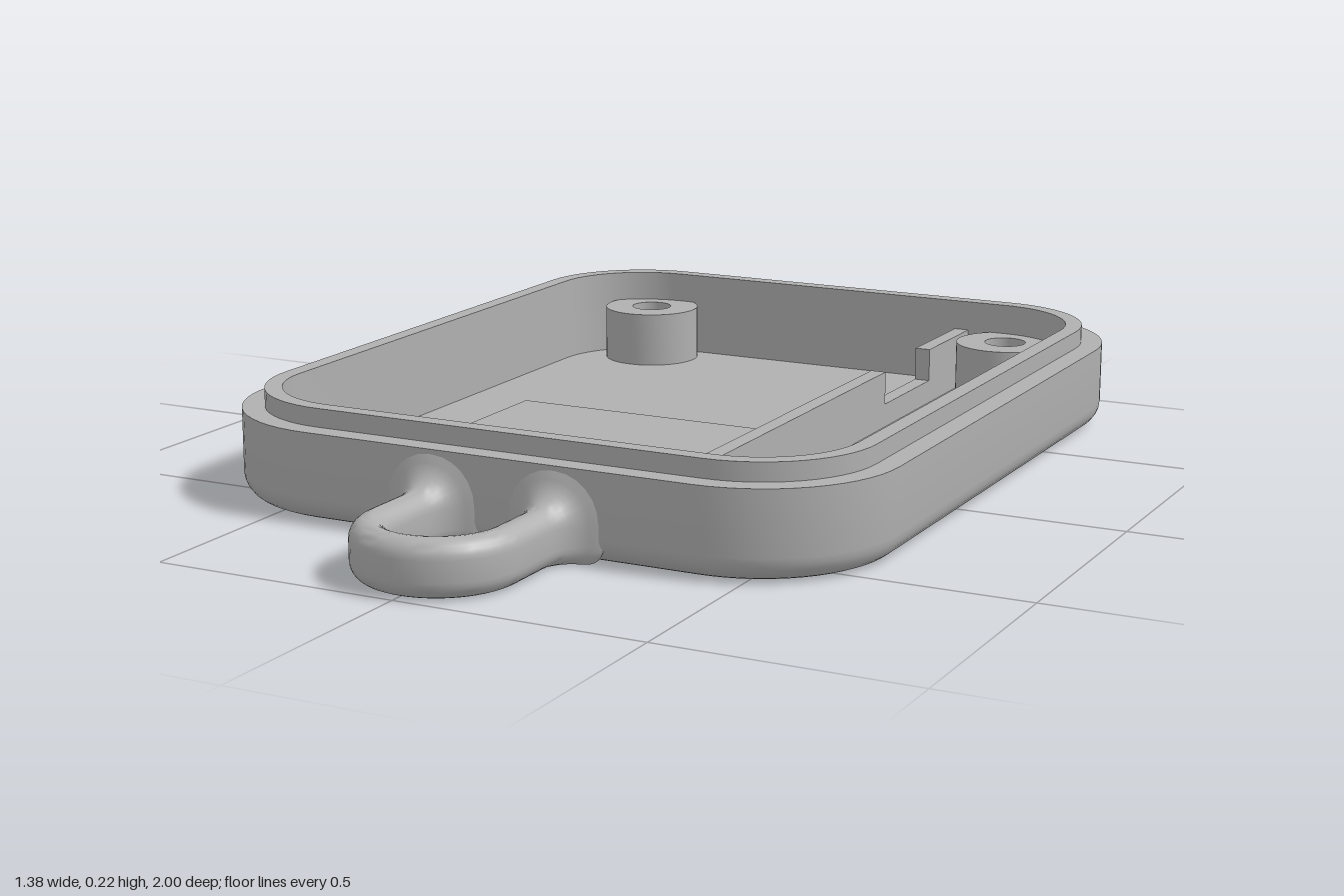
import * as THREE from 'three';
import { toCreasedNormals } from 'three/addons/utils/BufferGeometryUtils.js';

const HALF_W = 0.69, HALF_D = 0.83, CENTER_Z = -0.17, CORNER = 0.28;
const FLOOR = 0.03, BOSS_TOP = 0.15, BORE = 0.083;
const SCREWS = [[-0.443, -0.835], [0.443, -0.835], [-0.443, 0.495], [0.443, 0.495]];

// Rounded-rectangle outline in x/z, shrunk by an inset
function outline(inset, steps = 14) {
  const r = CORNER - inset, pts = [];
  [[1, 1], [-1, 1], [-1, -1], [1, -1]].forEach(([sx, sz], q) => {
    for (let i = 0; i <= steps; i++) {
      const a = (q + i / steps) * Math.PI / 2;
      pts.push([sx * (HALF_W - CORNER) + r * Math.cos(a),
        CENTER_Z + sz * (HALF_D - CORNER) + r * Math.sin(a)]);
    }
  });
  return pts;
}

// Skin a list of closed rings of equal length
function loft(rings) {
  const n = rings[0].length, index = [];
  for (let i = 0; i < rings.length - 1; i++) {
    for (let j = 0; j < n; j++) {
      const k = (j + 1) % n;
      const a = i * n + j, b = i * n + k, c = b + n, d = a + n;
      index.push(a, d, c, a, c, b);
    }
  }
  const g = new THREE.BufferGeometry();
  g.setAttribute('position', new THREE.Float32BufferAttribute(rings.flat(2), 3));
  g.setIndex(index);
  return toCreasedNormals(g, 0.6);
}

// Flat sheet with the four screw holes, facing up or down
function sheet(inset, y, up) {
  const s = up ? -1 : 1;
  const shape = new THREE.Shape(outline(inset).map(([x, z]) => new THREE.Vector2(x, s * z)));
  for (const [x, z] of SCREWS) {
    shape.holes.push(new THREE.Path().absarc(x, s * z, BORE, 0, Math.PI * 2));
  }
  return new THREE.ShapeGeometry(shape, 20).rotateX(s * Math.PI / 2).translate(0, y, 0);
}

// Cross-section of the loop: the flare widens and raises it
function loopSection(px, pz, nx, nz, flare) {
  const hw = 0.035 + flare, top = 0.11 + flare, ring = [];
  const rTop = Math.min(hw, 0.09), rBot = 0.035;
  [[1, 1], [-1, 1], [-1, -1], [1, -1]].forEach(([su, sv], q) => {
    const r = sv > 0 ? rTop : rBot;
    for (let i = 0; i <= 6; i++) {
      const a = (q + i / 6) * Math.PI / 2;
      const u = su * (hw - r) + r * Math.cos(a);
      const v = (sv > 0 ? top - r : r) + r * Math.sin(a);
      ring.push([px + nx * u, v, pz + nz * u]);
    }
  });
  return ring;
}

function loopGeometry() {
  const R = 0.13, arcZ = 0.835, leg = [[0.612, 0.05], [0.655, 0.066]];
  // concave fillet where each leg meets the wall
  for (let i = 1; i <= 8; i++) {
    const a = i / 8 * Math.PI / 2;
    leg.push([0.73 - 0.07 * Math.cos(a), 0.07 - 0.07 * Math.sin(a)]);
  }
  const rings = leg.map(([z, f]) => loopSection(-R, z, -1, 0, f));
  for (let i = 0; i <= 28; i++) {
    const a = Math.PI * (1 - i / 28), c = Math.cos(a), s = Math.sin(a);
    rings.push(loopSection(R * c, arcZ + R * s, c, s, 0));
  }
  leg.reverse().forEach(([z, f]) => rings.push(loopSection(R, z, 1, 0, f)));
  return loft(rings);
}

export function createModel() {
  const model = new THREE.Group();
  const grey = new THREE.MeshStandardMaterial({ color: 0xb0b0b0 });
  grey.name = 'grey plastic';
  const add = (name, geometry) => {
    const mesh = new THREE.Mesh(geometry, grey);
    mesh.name = name;
    model.add(mesh);
    return mesh;
  };

  // Shell wall: rounded bottom edge, shoulder, raised lip, inner wall
  const profile = [];
  for (let i = 0; i <= 6; i++) {
    const a = i / 6 * Math.PI / 2;
    profile.push([0.05 - 0.05 * Math.sin(a), 0.05 - 0.05 * Math.cos(a)]);
  }
  profile.push([0, 0.178], [0.045, 0.178], [0.045, 0.215], [0.08, 0.215], [0.08, FLOOR]);
  add('shellWall', loft(profile.map(([inset, y]) => outline(inset).map(([x, z]) => [x, y, z]))));
  add('underside', sheet(0.05, 0, false));
  add('innerFloor', sheet(0.08, FLOOR, true));

  // Hollow screw bosses, counterbored from below
  const bossProfile = [[0.108, FLOOR], [0.108, BOSS_TOP], [0.045, BOSS_TOP],
    [0.045, 0.09], [BORE, 0.09], [BORE, 0]].map(([r, y]) => new THREE.Vector2(r, y));
  const bossGeometry = toCreasedNormals(new THREE.LatheGeometry(bossProfile, 40), 0.6);
  for (const [x, z] of SCREWS) add('screwBoss', bossGeometry).position.set(x, 0, z);

  // Notched partition running front to back
  const side = new THREE.Shape([[-0.6, 0.01], [0.94, 0.01], [0.94, BOSS_TOP], [0.685, BOSS_TOP],
    [0.685, 0.08], [0.435, 0.08], [0.435, BOSS_TOP], [-0.6, BOSS_TOP]]
    .map(([u, y]) => new THREE.Vector2(u, y)));
  add('partition', new THREE.ExtrudeGeometry(side, { depth: 0.033, bevelEnabled: false })
    .rotateY(Math.PI / 2).translate(0.29, 0, 0));

  // Front block and raised pad
  const box = (name, x0, x1, y0, y1, z0, z1) =>
    add(name, new THREE.BoxGeometry(x1 - x0, y1 - y0, z1 - z0))
      .position.set((x0 + x1) / 2, (y0 + y1) / 2, (z0 + z1) / 2);
  box('frontBlock', -0.359, 0.3, 0.01, 0.142, 0.427, 0.6);
  box('raisedPad', -0.405, 0.295, 0.01, 0.065, -0.17, 0.39);

  // Key ring loop
  add('hangingLoop', loopGeometry());
  return model;
}
